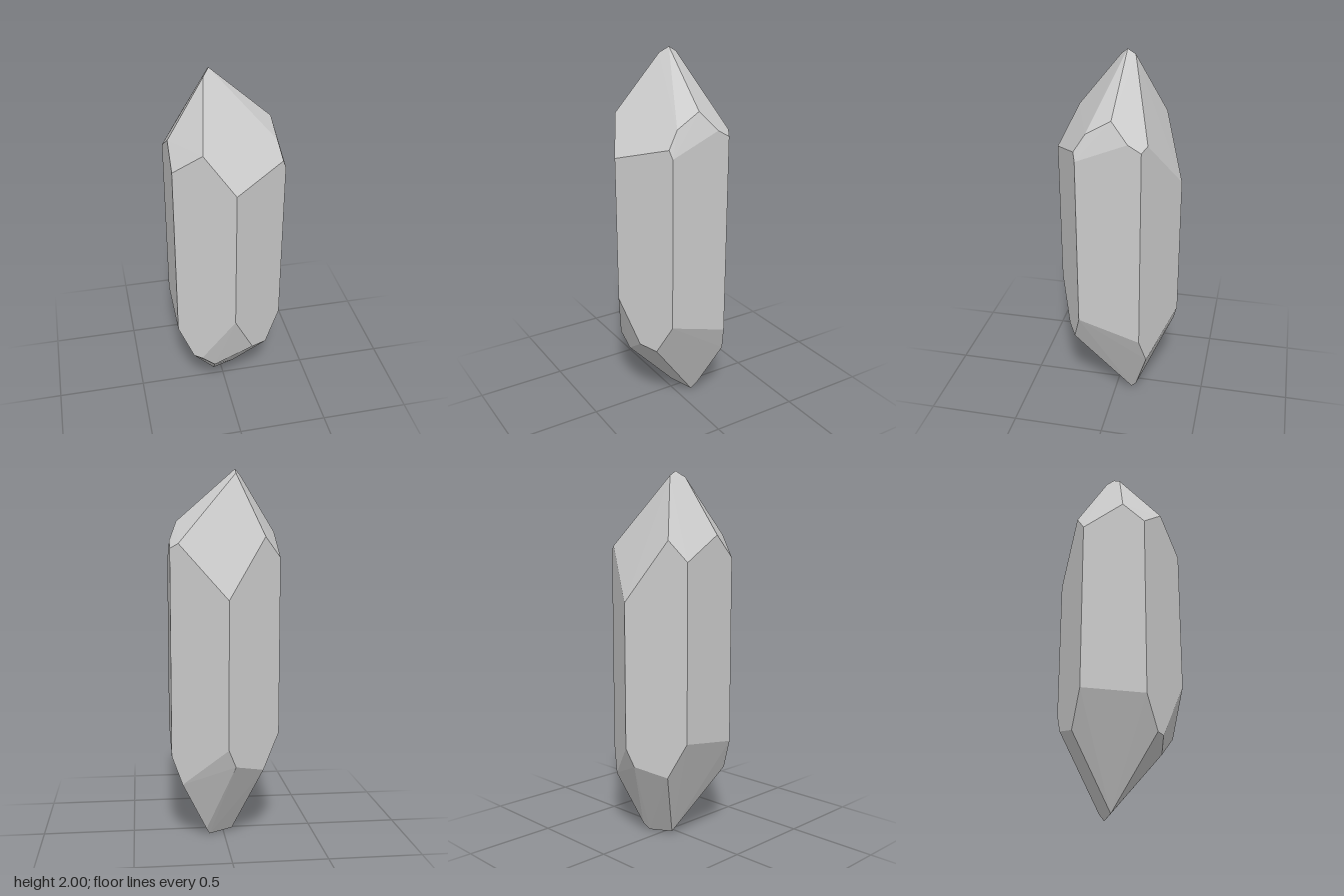
import * as THREE from 'three';
import { ConvexGeometry } from 'three/addons/geometries/ConvexGeometry.js';

const R = 0.336; // hexagon corner radius
const W = R * Math.cos(Math.PI / 6); // half width across the side faces

// Point on one of the four slanted prism faces (side: +1 front, -1 back)
const onPrism = (x, y, side) => [x, y, side * (R - Math.abs(x) * Math.tan(Math.PI / 6))];

export function createModel() {
  const group = new THREE.Group();
  group.name = 'crystal';

  // Upper and lower ends of the six prism edges: [x, side, top, bottom]
  const columns = [
    [0, 1, 1.475, 0.68],
    [W, 1, 1.515, 0.58],
    [W, -1, 1.585, 0.475],
    [0, -1, 1.325, 0.545],
    [-W, -1, 1.535, 0.592],
    [-W, 1, 1.55, 0.547],
  ];
  const prism = columns.flatMap(([x, side, top, bottom]) =>
    [onPrism(x, top, side), onPrism(x, bottom, side)]);

  // Upper point: facet corners on the prism faces, then the slanted tip
  const upper = [
    onPrism(-0.15, 1.67, 1),
    onPrism(0.273, 1.56, 1),
    onPrism(0.248, 1.61, -1),
    onPrism(-0.203, 1.645, -1),
    [-W, 1.67, 0.05],
    [W, 1.625, -0.1],
    [0.254, 1.65, 0.12],
    [0.25, 1.725, -0.01],
    [-0.1, 1.967, 0.01],
    [-0.065, 1.975, -0.07],
    [-0.065, 2, -0.028],
  ];

  // Lower point: the same, ending in a short oblique edge
  const lower = [
    onPrism(-0.212, 0.372, 1),
    onPrism(-0.17, 0.365, 1),
    onPrism(0.115, 0.43, 1),
    onPrism(0.205, 0.41, 1),
    onPrism(0.235, 0.325, -1),
    onPrism(-0.04, 0.447, -1),
    onPrism(-0.2, 0.4, -1),
    [-0.095, 0.287, 0.222],
    [-0.05, 0.01, -0.04],
    [0.08, 0, -0.09],
    [0.1, 0.04, -0.12],
  ];

  // Flat facets are the convex skin over all corners
  const corners = [...prism, ...upper, ...lower].map((p) => new THREE.Vector3(...p));
  const body = new THREE.Mesh(
    new ConvexGeometry(corners),
    new THREE.MeshStandardMaterial({ color: 0xcccccc, flatShading: true }),
  );
  body.name = 'crystalBody';
  group.add(body);
  return group;
}
